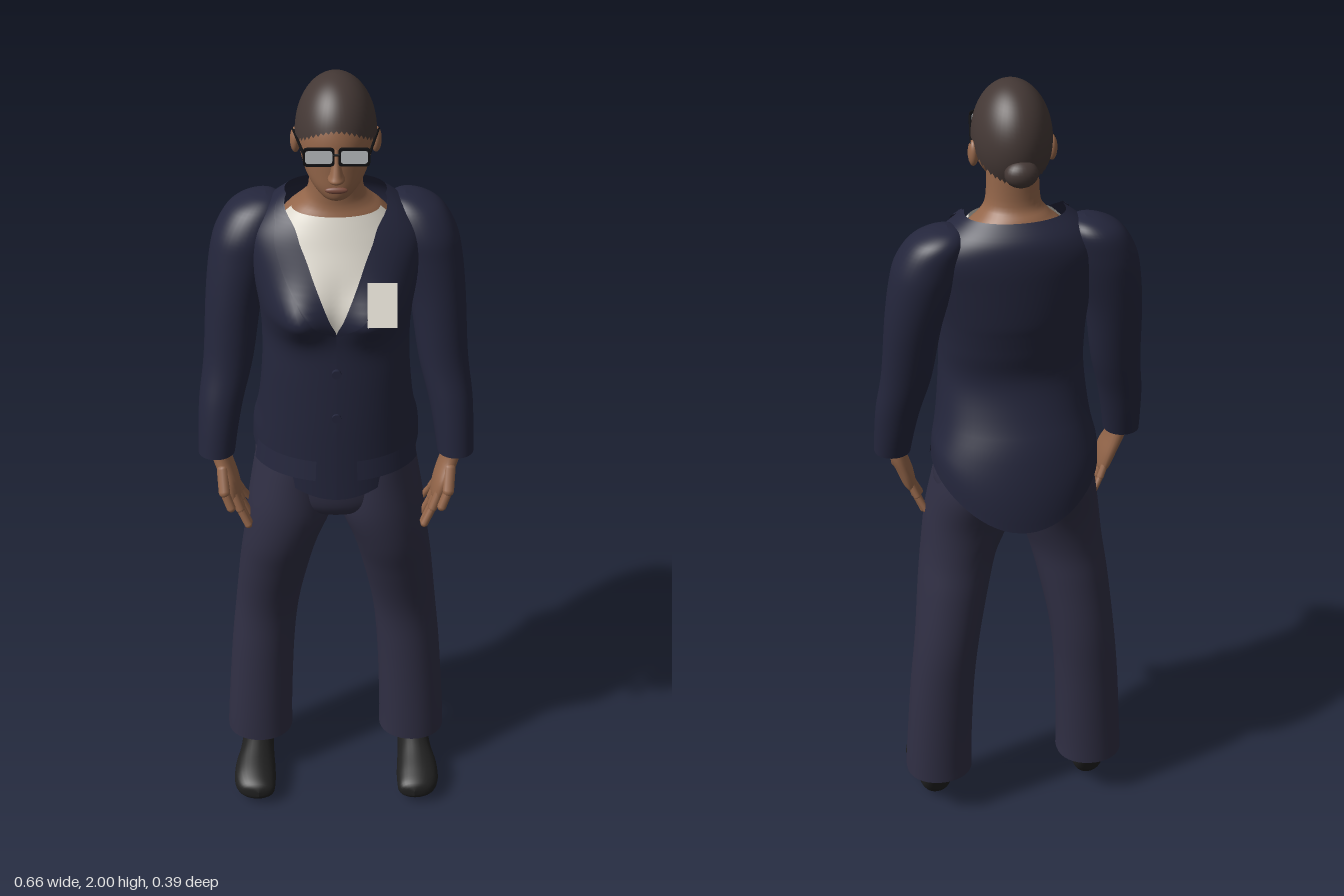
import * as THREE from 'three';

const mat = (name, color, side = THREE.DoubleSide) => {
  const m = new THREE.MeshStandardMaterial({ color, side });
  m.name = name;
  return m;
};

// Smooth loft through rows [y, centreX, radiusX, frontZ, backZ, startAngle, endAngle], bottom to top.
// Angle 0 faces +z; rows without angles make closed rings.
function loft(rows, { n = 36, steps = 5, power = 0.85, warp } = {}) {
  const closed = rows[0].length < 6;
  const pos = [], index = [], total = (rows.length - 1) * steps, cols = closed ? n : n + 1;
  const at = (i) => rows[Math.max(0, Math.min(rows.length - 1, i))];
  for (let r = 0; r <= total; r++) {
    const i = Math.min(Math.floor(r / steps), rows.length - 2), t = r / steps - i;
    const [y, cx, rx, zf, zb, a = 0, b = Math.PI * 2] = at(i).map((p1, k) => {
      const p0 = at(i - 1)[k], p2 = at(i + 1)[k], p3 = at(i + 2)[k];
      return p1 + 0.5 * t * (p2 - p0 + t * (2 * p0 - 5 * p1 + 4 * p2 - p3 + t * (3 * (p1 - p2) + p3 - p0)));
    });
    const start = closed ? 0 : a;
    for (let c = 0; c < cols; c++) {
      const q = start + (b - start) * c / n, co = Math.cos(q);
      const p = new THREE.Vector3(cx + Math.max(0, rx) * Math.sin(q), y,
        (zf + zb) / 2 + (zf - zb) / 2 * Math.sign(co) * Math.abs(co) ** power);
      if (warp) warp(p, q);
      pos.push(p.x, p.y, p.z);
    }
  }
  for (let r = 0; r < total; r++) for (let c = 0; c < n; c++) {
    const d = (c + 1) % cols, lo = r * cols, hi = lo + cols;
    index.push(lo + c, lo + d, hi + d, lo + c, hi + d, hi + c);
  }
  const g = new THREE.BufferGeometry();
  g.setAttribute('position', new THREE.Float32BufferAttribute(pos, 3));
  g.setIndex(index);
  g.computeVertexNormals();
  return g;
}

// Rounded rod between two points
function rod(a, b, r) {
  const A = new THREE.Vector3(...a), B = new THREE.Vector3(...b), d = B.clone().sub(A);
  const g = new THREE.CapsuleGeometry(r, d.length(), 5, 10);
  g.applyQuaternion(new THREE.Quaternion().setFromUnitVectors(new THREE.Vector3(0, 1, 0), d.normalize()));
  const c = A.add(B).multiplyScalar(0.5);
  return g.translate(c.x, c.y, c.z);
}

const ball = (x, y, z, sx, sy, sz) => new THREE.SphereGeometry(1, 24, 16).scale(sx, sy, sz).translate(x, y, z);

function roundRect(path, w, h, r) {
  const x = w / 2, y = h / 2;
  path.moveTo(-x + r, -y).lineTo(x - r, -y).quadraticCurveTo(x, -y, x, -y + r)
    .lineTo(x, y - r).quadraticCurveTo(x, y, x - r, y).lineTo(-x + r, y)
    .quadraticCurveTo(-x, y, -x, y - r).lineTo(-x, -y + r).quadraticCurveTo(-x, -y, -x + r, -y);
  return path;
}

export function createModel() {
  const model = new THREE.Group();
  const jacket = mat('jacket navy', 0x24263c), trousers = mat('trouser navy', 0x302f44);
  const skin = mat('skin', 0x94664a), hair = mat('hair brown', 0x443835);
  const cream = mat('cream', 0xdcd7cc), shoe = mat('shoe black', 0x202020);
  const frame = mat('frame black', 0x121214), glass = mat('lens grey', 0xc4c8ca), lip = mat('lips', 0x7c4c3e);
  const add = (name, g, m, parent = model) => {
    const mesh = new THREE.Mesh(g, m);
    mesh.name = name;
    parent.add(mesh);
    return mesh;
  };

  // Bust on the front, curved hem at the bottom
  const drape = (p, q) => {
    if (Math.cos(q) > 0) p.z += 0.045 * Math.exp(-(((Math.abs(p.x) - 0.09) / 0.06) ** 2) - ((p.y - 1.47) / 0.06) ** 2);
    const w = THREE.MathUtils.smoothstep(1.17 - p.y, 0, 0.12);
    p.y -= w * (0.05 * Math.cos(2 * q) + 0.015 * (1 - Math.cos(q)));
  };
  // Jacket rows: y, centre, half width, front, back, half angle of the V opening
  const body = [
    [1.03, 0, 0.2, 0.165, -0.192, 0], [1.1, 0, 0.197, 0.163, -0.182, 0], [1.2, 0, 0.182, 0.16, -0.13, 0],
    [1.3, 0, 0.173, 0.155, -0.097, 0], [1.38, 0, 0.172, 0.15, -0.11, 0], [1.43, 0, 0.175, 0.152, -0.12, 0],
    [1.47, 0, 0.18, 0.155, -0.128, 0.09], [1.55, 0, 0.195, 0.14, -0.135, 0.25], [1.62, 0, 0.2, 0.11, -0.138, 0.395],
    [1.67, 0, 0.165, 0.085, -0.13, 0.64], [1.71, 0, 0.115, 0.055, -0.1, 1.3]];
  add('jacketBody', loft(body.map((r) => [...r, Math.PI * 2 - r[5]]), { n: 64, warp: drape }), jacket);

  // Lapels, mirrored
  const widths = [0.03, 0.22, 0.34, 0.34, 0.3, 0.2];
  const lapel = loft(body.slice(5).map(([y, x, rx, f, b, a], i) => [y, x, rx + 0.004, f + 0.007, b - 0.004, a, a + widths[i]]),
    { n: 10, warp: drape });
  // Pocket flaps, mirrored
  const flap = loft([[1.055, 0, 0.208, 0.18, -0.2, 0.24, 1.2], [1.105, 0, 0.2, 0.172, -0.19, 0.24, 1.2]],
    { n: 14, warp: (p) => { p.y -= 0.012; } });
  for (const s of [-1, 1]) {
    add('lapel', lapel, jacket).scale.x = s;
    add('pocketFlap', flap, jacket).scale.x = s;
  }
  for (const y of [1.33, 1.21])
    add('button', new THREE.CylinderGeometry(0.011, 0.011, 0.008, 16).rotateX(Math.PI / 2).translate(0, y, 0.161), jacket);

  // Shirt front and badge
  add('shirt', loft([[1.38, 0, 0.15, 0.138, -0.08, -1.5, 1.5], [1.47, 0, 0.16, 0.147, -0.1, -1.5, 1.5],
    [1.55, 0, 0.165, 0.132, -0.1, -1.5, 1.5], [1.62, 0, 0.155, 0.102, -0.1, -1.5, 1.5],
    [1.66, 0, 0.125, 0.085, -0.08, -1.5, 1.5], [1.685, 0, 0.1, 0.074, -0.06, -1.5, 1.5]], { warp: drape }), cream);
  const badge = add('badge', new THREE.BoxGeometry(0.066, 0.1, 0.008), cream);
  badge.position.set(0.102, 1.515, 0.169);
  badge.rotation.x = -0.5;

  // Neck and upper chest
  add('neck', loft([[1.55, 0, 0.13, 0.1, -0.1], [1.64, 0, 0.13, 0.08, -0.1], [1.675, 0, 0.108, 0.068, -0.09],
    [1.7, 0, 0.08, 0.06, -0.075], [1.73, 0, 0.062, 0.06, -0.056], [1.81, 0, 0.058, 0.065, -0.055]]), skin);

  // Head and face
  const head = new THREE.Group();
  head.name = 'head';
  model.add(head);
  add('face', loft([[1.744, 0, 0, 0.1, 0.08], [1.747, 0, 0.022, 0.115, 0.06], [1.757, 0, 0.038, 0.125, 0.03],
    [1.78, 0, 0.057, 0.129, 0], [1.81, 0, 0.072, 0.129, -0.04], [1.85, 0, 0.081, 0.129, -0.068],
    [1.89, 0, 0.083, 0.126, -0.08], [1.93, 0, 0.074, 0.111, -0.078], [1.97, 0, 0.05, 0.08, -0.05],
    [1.985, 0, 0, 0.04, -0.02]], { power: 0.95 }), skin, head);
  add('nose', loft([[1.796, 0, 0.002, 0.13, 0.11], [1.8, 0, 0.014, 0.147, 0.1], [1.807, 0, 0.019, 0.156, 0.1],
    [1.82, 0, 0.014, 0.151, 0.1], [1.85, 0, 0.009, 0.138, 0.1], [1.875, 0, 0.008, 0.129, 0.1]], { n: 16 }), skin, head);
  add('lips', ball(0, 1.778, 0.127, 0.025, 0.008, 0.007), lip, head);

  // Hair cap: a sphere whose lower edge is high in front and low at the nape
  const cap = new THREE.SphereGeometry(1, 48, 24), P = cap.attributes.position, uv = cap.attributes.uv;
  for (let i = 0; i < P.count; i++) {
    const u = uv.getX(i) * Math.PI * 2, f = Math.sin(u);
    const v = (1 - uv.getY(i)) * (f > 0 ? 1.68 - 0.42 * f * f : 1.68 - 0.55 * f);
    P.setXYZ(i, -0.09 * Math.cos(u) * Math.sin(v), 1.87 + 0.13 * Math.cos(v), 0.015 + 0.117 * f * Math.sin(v));
  }
  cap.computeVertexNormals();
  add('hairCap', cap, hair, head);
  add('hairBun', ball(0, 1.825, -0.094, 0.038, 0.031, 0.029), hair, head);

  // Glasses and ears
  const rim = roundRect(new THREE.Shape(), 0.068, 0.042, 0.01);
  rim.holes.push(roundRect(new THREE.Path(), 0.058, 0.032, 0.008));
  const rimGeo = new THREE.ExtrudeGeometry(rim, { depth: 0.006, bevelEnabled: false });
  const lensGeo = new THREE.ShapeGeometry(roundRect(new THREE.Shape(), 0.06, 0.034, 0.008));
  for (const s of [-1, 1]) {
    add('glassesRim', rimGeo, frame, head).position.set(s * 0.038, 1.865, 0.141);
    add('lens', lensGeo, glass, head).position.set(s * 0.038, 1.865, 0.144);
    add('glassesTemple', rod([s * 0.071, 1.874, 0.143], [s * 0.094, 1.866, 0.002], 0.003), frame, head);
    add('ear', ball(s * 0.089, 1.842, 0.004, 0.012, 0.03, 0.018), skin, head);
  }
  add('glassesBridge', rod([-0.006, 1.87, 0.145], [0.006, 1.87, 0.145], 0.003), frame, head);

  // Hips
  add('hips', loft([[0.872, 0, 0.02, 0.03, -0.03], [0.89, 0, 0.09, 0.1, -0.075], [0.93, 0, 0.17, 0.14, -0.11],
    [1.0, 0, 0.195, 0.148, -0.145], [1.06, 0, 0.19, 0.15, -0.165], [1.12, 0, 0.17, 0.13, -0.14]]), trousers);

  // Left arm and leg, then the same mirrored
  for (const s of [1, -1]) {
    const side = new THREE.Group();
    side.name = s > 0 ? 'leftLimbs' : 'rightLimbs';
    side.scale.x = s;
    model.add(side);

    add('sleeve', loft([[1.065, 0.286, 0.044, 0.118, 0.02], [1.13, 0.28, 0.048, 0.11, 0], [1.2, 0.271, 0.053, 0.098, -0.02],
      [1.3, 0.252, 0.059, 0.078, -0.05], [1.45, 0.236, 0.066, 0.065, -0.09], [1.55, 0.216, 0.075, 0.058, -0.11],
      [1.61, 0.2, 0.076, 0.052, -0.115], [1.66, 0.18, 0.064, 0.03, -0.11], [1.685, 0.165, 0.035, 0, -0.085],
      [1.692, 0.158, 0, -0.035, -0.045]]), jacket, side);

    const hand = new THREE.Group();
    hand.name = 'hand';
    side.add(hand);
    add('palm', loft([[0.945, 0.242, 0.01, 0.125, 0.05], [0.96, 0.246, 0.017, 0.133, 0.043], [1.0, 0.257, 0.021, 0.132, 0.036],
      [1.05, 0.274, 0.023, 0.11, 0.036], [1.1, 0.283, 0.024, 0.1, 0.045]], { n: 20 }), skin, hand);
    [[0.121, 0.138, 0.89], [0.099, 0.107, 0.875], [0.077, 0.073, 0.88], [0.055, 0.036, 0.9]].forEach(([z0, z1, y], i) => {
      const mid = [0.232, 0.925 + (y - 0.88) / 2, (z0 + z1) / 2];
      add('finger', rod([0.247, 0.97, z0], mid, i === 3 ? 0.009 : 0.0108), skin, hand);
      add('fingertip', rod(mid, [0.213, y, z1], i === 3 ? 0.008 : 0.0095), skin, hand);
    });
    add('thumb', rod([0.272, 1.03, 0.108], [0.268, 0.985, 0.137], 0.014), skin, hand);
    add('thumbTip', rod([0.268, 0.985, 0.137], [0.253, 0.945, 0.146], 0.011), skin, hand);

    add('trouserLeg', loft([[0.125, 0.203, 0.086, 0.075, -0.095], [0.2, 0.201, 0.084, 0.074, -0.097],
      [0.4, 0.19, 0.081, 0.07, -0.105], [0.55, 0.175, 0.081, 0.073, -0.11], [0.7, 0.153, 0.088, 0.11, -0.1],
      [0.8, 0.134, 0.094, 0.138, -0.092], [0.9, 0.11, 0.106, 0.15, -0.105], [1.0, 0.1, 0.098, 0.145, -0.142],
      [1.06, 0.095, 0.09, 0.14, -0.155]]), trousers, side);
    add('ankle', loft([[0.08, 0.21, 0.03, 0.035, -0.03], [0.14, 0.208, 0.032, 0.03, -0.042],
      [0.24, 0.204, 0.042, 0.03, -0.055]], { n: 20 }), skin, side);

    // Shoe lofted heel to toe, then laid along z
    add('shoe', loft([[-0.045, 0.208, 0, -0.105, -0.115], [-0.036, 0.208, 0.026, -0.075, -0.124], [0, 0.209, 0.04, -0.014, -0.126],
      [0.05, 0.212, 0.045, -0.003, -0.116], [0.1, 0.216, 0.053, 0, -0.101], [0.15, 0.216, 0.054, -0.007, -0.085],
      [0.185, 0.21, 0.041, -0.018, -0.069], [0.198, 0.206, 0, -0.035, -0.05]], { n: 28 }).rotateX(Math.PI / 2), shoe, side);
  }
  return model;
}
